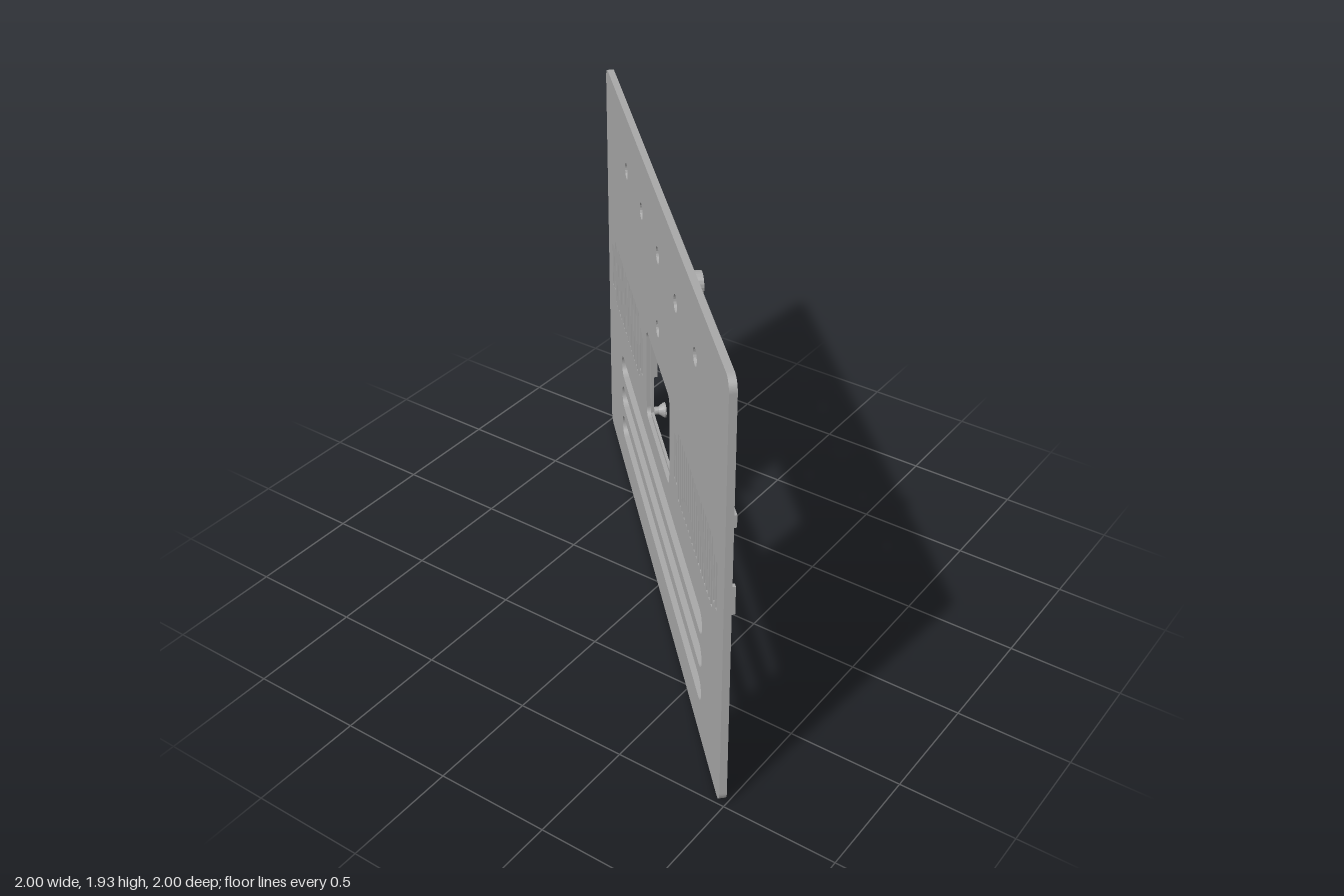
import * as THREE from 'three';

const T = 0.03;        // panel thickness
const F = T / 2;       // front face of the panel
const HALF = 1.4;      // half of the panel length
const TOP = 1.935;     // panel height

// Rounded rectangle, drawn on a Shape or a Path
function roundRect(path, x0, y0, x1, y1, r) {
  path.moveTo(x0 + r, y0);
  path.lineTo(x1 - r, y0);
  path.absarc(x1 - r, y0 + r, r, -Math.PI / 2, 0, false);
  path.lineTo(x1, y1 - r);
  path.absarc(x1 - r, y1 - r, r, 0, Math.PI / 2, false);
  path.lineTo(x0 + r, y1);
  path.absarc(x0 + r, y1 - r, r, Math.PI / 2, Math.PI, false);
  path.lineTo(x0, y0 + r);
  path.absarc(x0 + r, y0 + r, r, Math.PI, Math.PI * 1.5, false);
  return path;
}

function rect(path, x0, y0, x1, y1) {
  path.moveTo(x0, y0);
  path.lineTo(x1, y0);
  path.lineTo(x1, y1);
  path.lineTo(x0, y1);
  path.closePath();
  return path;
}

function extrude(shape, depth) {
  return new THREE.ExtrudeGeometry(shape, { depth, bevelEnabled: false, curveSegments: 10 });
}

export function createModel() {
  const grey = new THREE.MeshStandardMaterial({ color: 0xa8a8a8 });
  grey.name = 'panel grey';

  const model = new THREE.Group();
  model.name = 'ventedPanel';
  const board = new THREE.Group();
  board.name = 'board';
  board.rotation.y = Math.PI / 4;   // the panel stands diagonally
  model.add(board);

  const add = (name, geometry, x = 0, y = 0, z = 0) => {
    const mesh = new THREE.Mesh(geometry, grey);
    mesh.name = name;
    mesh.position.set(x, y, z);
    board.add(mesh);
    return mesh;
  };

  // Panel with all its openings
  const panel = roundRect(new THREE.Shape(), -HALF, 0, HALF, TOP, 0.055);
  const hole = (p) => panel.holes.push(p);
  const roundHole = (x, y) => hole(new THREE.Path().absarc(x, y, 0.037, 0, Math.PI * 2, true));
  for (let i = -2; i <= 2; i++) roundHole(i * 0.404, 1.677);
  roundHole(0, 1.335);
  const slotRows = [0.225, 0.397, 0.568];
  for (const y of slotRows) hole(roundRect(new THREE.Path(), -1.018, y - 0.056, 1.018, y + 0.056, 0.0555));
  // Vent grilles: long slots with two shorter ones at each end
  for (const side of [-1, 1]) {
    for (let i = 0; i < 21; i++) {
      const x = side * (0.41 + i * 0.0428);
      const h = i < 2 || i > 18 ? 0.109 : 0.162;
      hole(rect(new THREE.Path(), x - 0.011, 0.972 - h, x + 0.011, 0.972 + h));
    }
  }
  hole(roundRect(new THREE.Path(), -0.285, 0.735, 0.285, 1.17, 0.04));
  add('panel', extrude(panel, T), 0, 0, -F);

  // Front lip of the window, leaving a rounded recess at the back
  const lip = roundRect(new THREE.Shape(), -0.285, 0.735, 0.285, 1.17, 0.04);
  lip.holes.push(rect(new THREE.Path(), -0.27, 0.75, 0.27, 1.155));
  add('windowLip', extrude(lip, 0.012), 0, 0, F - 0.012);

  // Flared pegs
  const peg = (name, x, y, height) => {
    const profile = [[0, 0], [0.018, 0], [0.018, height * 0.4], [0.034, height * 0.85], [0.034, height], [0, height]];
    // Doubled corner points keep the edges sharp
    const pts = profile.flatMap(([r, h]) => [new THREE.Vector2(r, h), new THREE.Vector2(r, h)]);
    const g = new THREE.LatheGeometry(pts, 20).toNonIndexed();
    g.computeVertexNormals();
    g.rotateX(Math.PI / 2);
    add(name, g, x, y, F);
  };
  for (const x of [-0.108, 0.128, 0.491, 0.755]) peg('upperPeg', x, 1.362, 0.036);
  for (const y of slotRows) for (const x of [-1.148, 1.086]) peg('slotPeg', x, y, 0.036);
  for (const x of [-0.272, 0.272]) for (const y of [0.756, 1.152]) peg('windowPeg', x, y, 0.052);

  // Hollow screw bosses
  const ring = new THREE.Shape().absarc(0, 0, 0.046, 0, Math.PI * 2, false);
  ring.holes.push(new THREE.Path().absarc(0, 0, 0.03, 0, Math.PI * 2, true));
  const bossGeometry = extrude(ring, 0.035);
  for (const [x, y] of [[-0.597, 1.868], [-1.093, 0.072], [0.16, 0.072], [1.105, 0.072]]) {
    add('screwBoss', bossGeometry, x, y, F);
  }

  // Hooked tabs above the grilles: side profile swept along the panel
  const hook = new THREE.Shape();
  hook.moveTo(0, 0.028);
  hook.lineTo(0, 0.018);
  hook.lineTo(0.03, -0.028);
  hook.lineTo(0.055, -0.028);
  hook.lineTo(0.055, 0.028);
  hook.closePath();
  const hookGeometry = extrude(hook, 0.142);
  hookGeometry.translate(0, 0, -0.071);
  hookGeometry.rotateY(-Math.PI / 2);
  for (const x of [-1.135, -0.53, 0.535, 1.145]) add('hookTab', hookGeometry, x, 1.21, F);

  // Thin upright ribs beside the grilles
  const ribGeometry = new THREE.BoxGeometry(0.02, 0.128, 0.022);
  for (const x of [-1.35, -0.32, 0.32, 1.35]) add('locatingRib', ribGeometry, x, 0.971, F + 0.011);

  return model;
}
